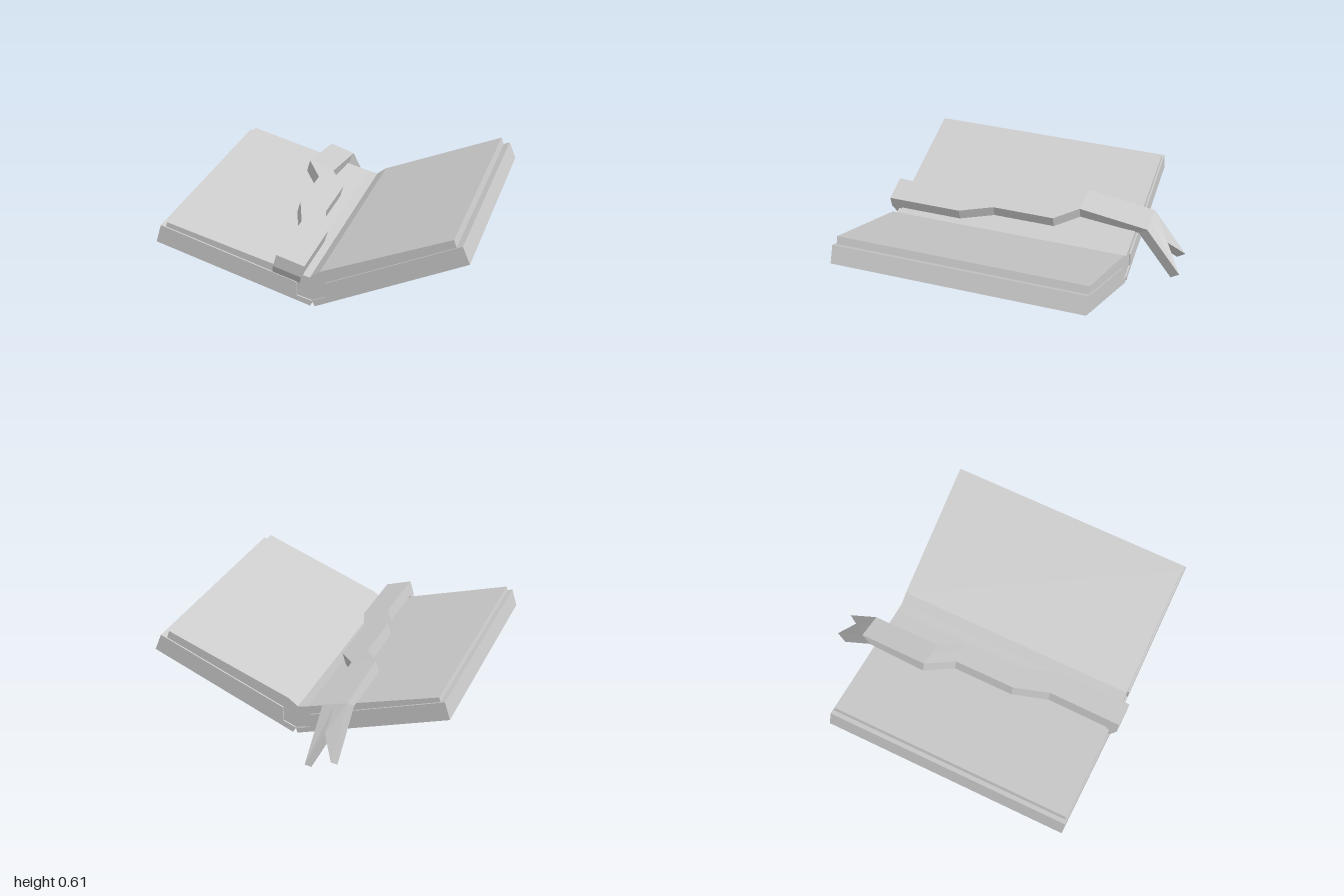
import * as THREE from 'three';

const grey = () => new THREE.MeshStandardMaterial({ color: 0xcccccc, flatShading: true });

// Extrude an x-y profile between two depths
function slab(name, points, zBack, zFront) {
  const shape = new THREE.Shape(points.map(([x, y]) => new THREE.Vector2(x, y)));
  const geometry = new THREE.ExtrudeGeometry(shape, { depth: zFront - zBack, bevelEnabled: false });
  geometry.translate(0, 0, zBack);
  const mesh = new THREE.Mesh(geometry, grey());
  mesh.name = name;
  return mesh;
}

// Bookmark ribbon: rows of three points across, each with an upper and a lower side
function ribbon() {
  const down = [-0.023, -0.077, 0];
  const add = (p, d, s = 1) => p.map((v, i) => v + d[i] * s);
  const row = (left, right, drop, mid) => {
    const top = [left, mid || left.map((v, i) => (v + right[i]) / 2), right];
    return { top, bottom: top.map(p => add(p, drop)) };
  };
  // Flat stretch follows the tilt of the page
  const onPage = (xl, zl, xr, zr) => {
    const y = x => 0.345 - 0.305 * (x + 0.015);
    return row([xl, y(xl), zl], [xr, y(xr), zr], down);
  };
  const front = onPage(-0.19, 1, -0.015, 1);
  const at = (s, z) => front.top.map(p => { const q = add(p, down, s); q[2] = z; return q; });
  const fold = [-0.02, -0.05, 0.06];
  const rows = [
    // Front end hooked down over the page edge
    { top: at(1.75, 0.965), bottom: at(1.75, 0.93) },
    { top: at(1, 1), bottom: at(1, 0.93) },
    { top: front.top, bottom: at(1, 0.93) },
    // Winding stretch over the page
    onPage(-0.185, 0.51, -0.015, 0.5),
    onPage(-0.265, 0.28, -0.095, 0.28),
    onPage(-0.265, -0.13, -0.095, -0.14),
    onPage(-0.38, -0.305, -0.21, -0.29),
    // Back end bent down, with a V notch
    row([-0.362, 0.4, -0.77], [-0.195, 0.347, -0.76], fold),
    row([-0.34, 0.11, -1], [-0.17, 0.055, -1], fold, [-0.26, 0.23, -0.89]),
  ];

  const pos = [];
  const quad = (a, b, c, d) => pos.push(...a, ...b, ...c, ...a, ...c, ...d);
  for (let i = 0; i < rows.length - 1; i++) {
    const a = rows[i], b = rows[i + 1];
    for (let j = 0; j < 2; j++) {
      quad(a.top[j], a.top[j + 1], b.top[j + 1], b.top[j]);
      quad(a.bottom[j + 1], a.bottom[j], b.bottom[j], b.bottom[j + 1]);
    }
    quad(a.bottom[0], a.top[0], b.top[0], b.bottom[0]);
    quad(a.top[2], a.bottom[2], b.bottom[2], b.top[2]);
  }
  // End caps
  const first = rows[0], last = rows[rows.length - 1];
  for (let j = 0; j < 2; j++) {
    quad(first.bottom[j], first.bottom[j + 1], first.top[j + 1], first.top[j]);
    quad(last.top[j], last.top[j + 1], last.bottom[j + 1], last.bottom[j]);
  }
  const geometry = new THREE.BufferGeometry();
  geometry.setAttribute('position', new THREE.Float32BufferAttribute(pos, 3));
  geometry.computeVertexNormals();
  const mesh = new THREE.Mesh(geometry, grey());
  mesh.material.side = THREE.DoubleSide;
  mesh.name = 'bookmarkRibbon';
  return mesh;
}

export function createModel() {
  const book = new THREE.Group();
  book.name = 'openBook';

  // Covers, thin beside the spine and thick outward
  book.add(slab('rightCover', [
    [-0.98, 0.365], [0.005, 0.06], [0.015, 0.095], [-0.08, 0.12], [-0.08, 0.21], [-0.945, 0.48],
  ], -0.685, 0.96));
  book.add(slab('leftCover', [
    [0.035, 0.06], [0.975, 0.475], [0.93, 0.585], [0.1, 0.225], [0.1, 0.13], [0.015, 0.095],
  ], -0.685, 0.96));

  // Page block filling the spine and rising just above the covers
  book.add(slab('pages', [
    [0.015, 0.095], [0.1, 0.13], [0.1, 0.225], [0.892, 0.568], [0.875, 0.617], [0.065, 0.295],
    [0.003, 0.248], [-0.065, 0.262], [-0.905, 0.5], [-0.915, 0.47], [-0.08, 0.21], [-0.08, 0.12],
  ], -0.675, 0.95));

  book.add(ribbon());
  return book;
}
